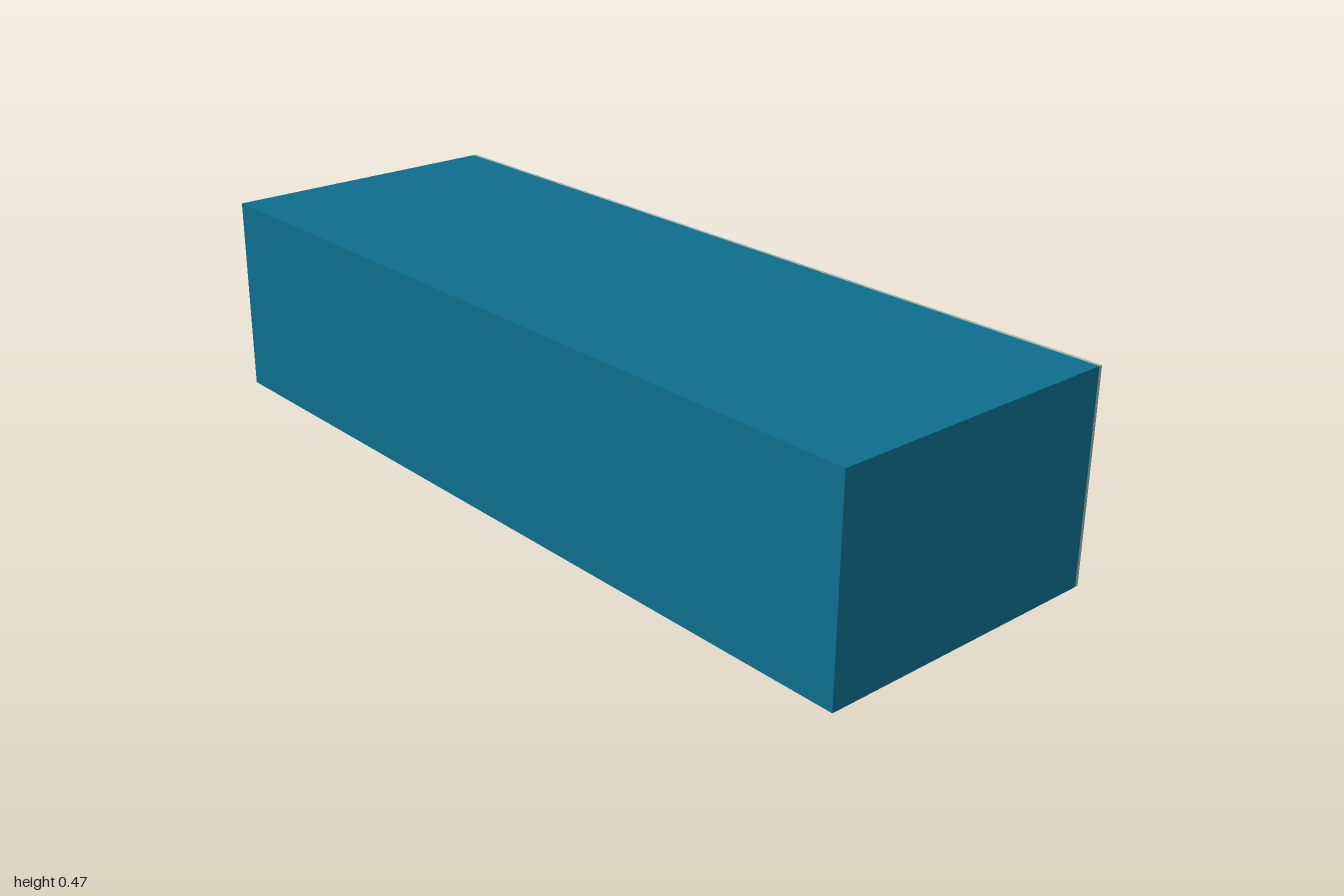
import * as THREE from 'three';

export function createModel() {
  const group = new THREE.Group();
  const teal = new THREE.MeshStandardMaterial({ color: 0x0e6d8d });
  const trim = new THREE.MeshStandardMaterial({ color: 0x8fb5b0 });
  const grey = new THREE.MeshStandardMaterial({ color: 0xcccccc });

  const H = 0.473, XL = -0.354, XW = 0.346, XR = 0.354, BAY = 0.5, BAR = 0.01;

  // Box given by its min and max corners
  function box(parent, name, mat, x0, x1, y0, y1, z0, z1) {
    const mesh = new THREE.Mesh(new THREE.BoxGeometry(x1 - x0, y1 - y0, z1 - z0), mat);
    mesh.position.set((x0 + x1) / 2, (y0 + y1) / 2, (z0 + z1) / 2);
    mesh.name = name;
    parent.add(mesh);
  }

  // Closed building block
  box(group, 'building', teal, XL, XW, 0, H, -1, 1);

  // Four equal bays on the +x facade, each with a framed door
  for (let i = 0; i < 4; i++) {
    const bay = new THREE.Group();
    bay.name = 'bay' + (i + 1);
    const z = -1 + i * BAY;
    const bar = (name, y0, y1, z0, z1) => box(bay, name, trim, XW, XR, y0, y1, z + z0, z + z1);

    // Horizontal rails: sill, door head and top edge
    bar('sill', 0, BAR, 0, BAY);
    bar('doorHead', 0.41, 0.41 + BAR, 0, BAY);
    bar('topRail', H - BAR, H, 0, BAY);

    // Upright posts at the bay ends and beside the door, split by the rails
    for (const c of [BAR / 2, 0.1, 0.4, BAY - BAR / 2]) {
      bar('lowerPost', BAR, 0.41, c - BAR / 2, c + BAR / 2);
      bar('upperPost', 0.41 + BAR, H - BAR, c - BAR / 2, c + BAR / 2);
    }

    // Door leaf, set back behind the frame
    box(bay, 'door', grey, XW, XW + 0.002, BAR, 0.41, z + 0.1 + BAR / 2, z + 0.4 - BAR / 2);
    group.add(bay);
  }
  return group;
}
